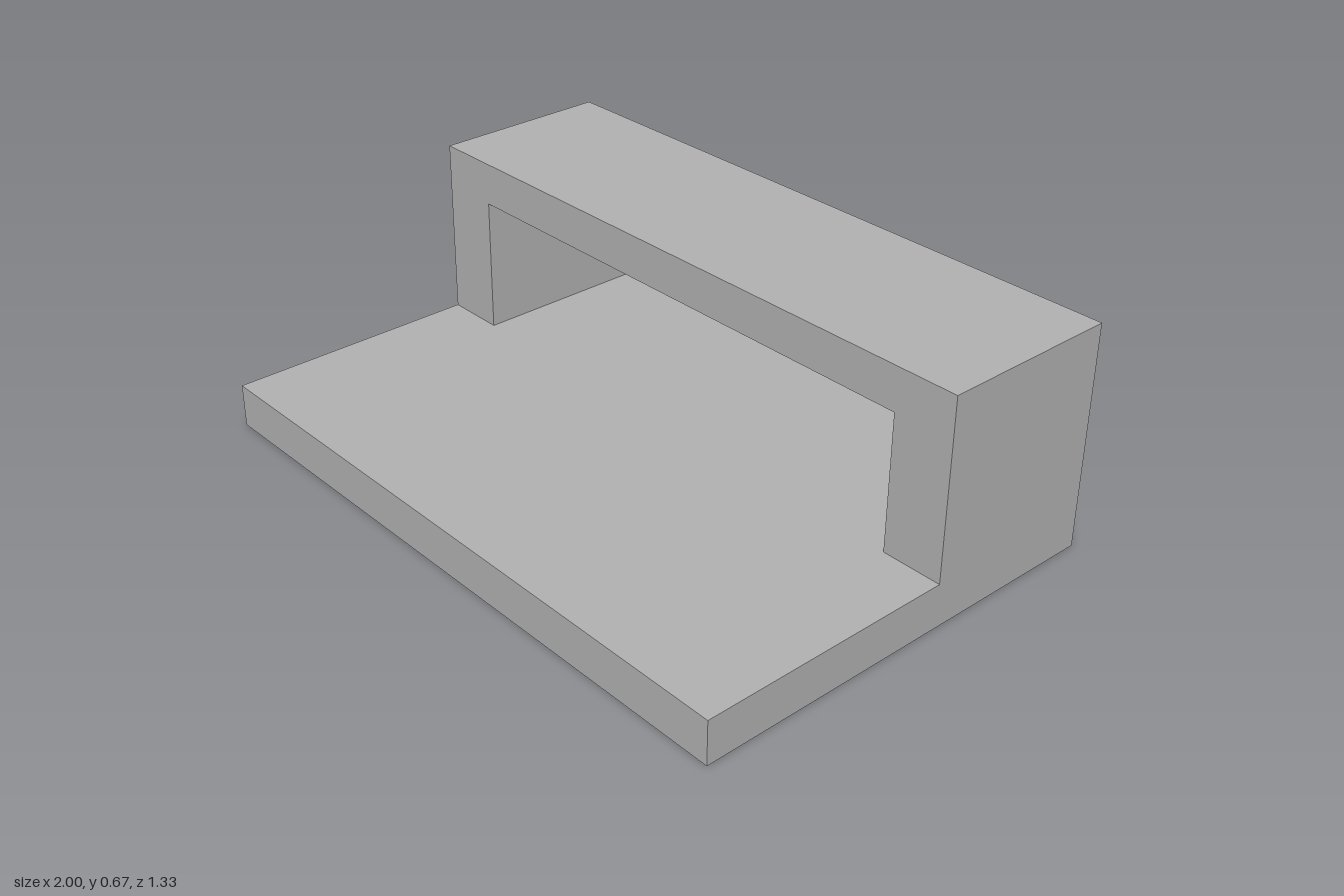
import * as THREE from 'three';

const WIDTH = 2, HEIGHT = 0.674, BASE = 0.133;
const BACK = -0.667, FRONT = 0.667, STEP = -0.117; // STEP: front face of the bridge
const OPEN_X = 0.813, OPEN_TOP = 0.545;

export function createModel() {
  const group = new THREE.Group();
  const grey = new THREE.MeshStandardMaterial({ color: 0xb2b2b2 });
  grey.name = 'grey';

  // Flat slab under everything
  const base = new THREE.Mesh(new THREE.BoxGeometry(WIDTH, BASE, FRONT - BACK), grey);
  base.position.y = BASE / 2;
  base.name = 'base';
  group.add(base);

  // Deep bridge over the rear half: two side walls and a top in one profile
  const profile = new THREE.Shape([
    [-1, BASE], [-OPEN_X, BASE], [-OPEN_X, OPEN_TOP], [OPEN_X, OPEN_TOP],
    [OPEN_X, BASE], [1, BASE], [1, HEIGHT], [-1, HEIGHT],
  ].map(([x, y]) => new THREE.Vector2(x, y)));
  const bridge = new THREE.Mesh(
    new THREE.ExtrudeGeometry(profile, { depth: STEP - BACK, bevelEnabled: false }), grey);
  bridge.position.z = BACK;
  bridge.name = 'bridge';
  group.add(bridge);

  return group;
}
